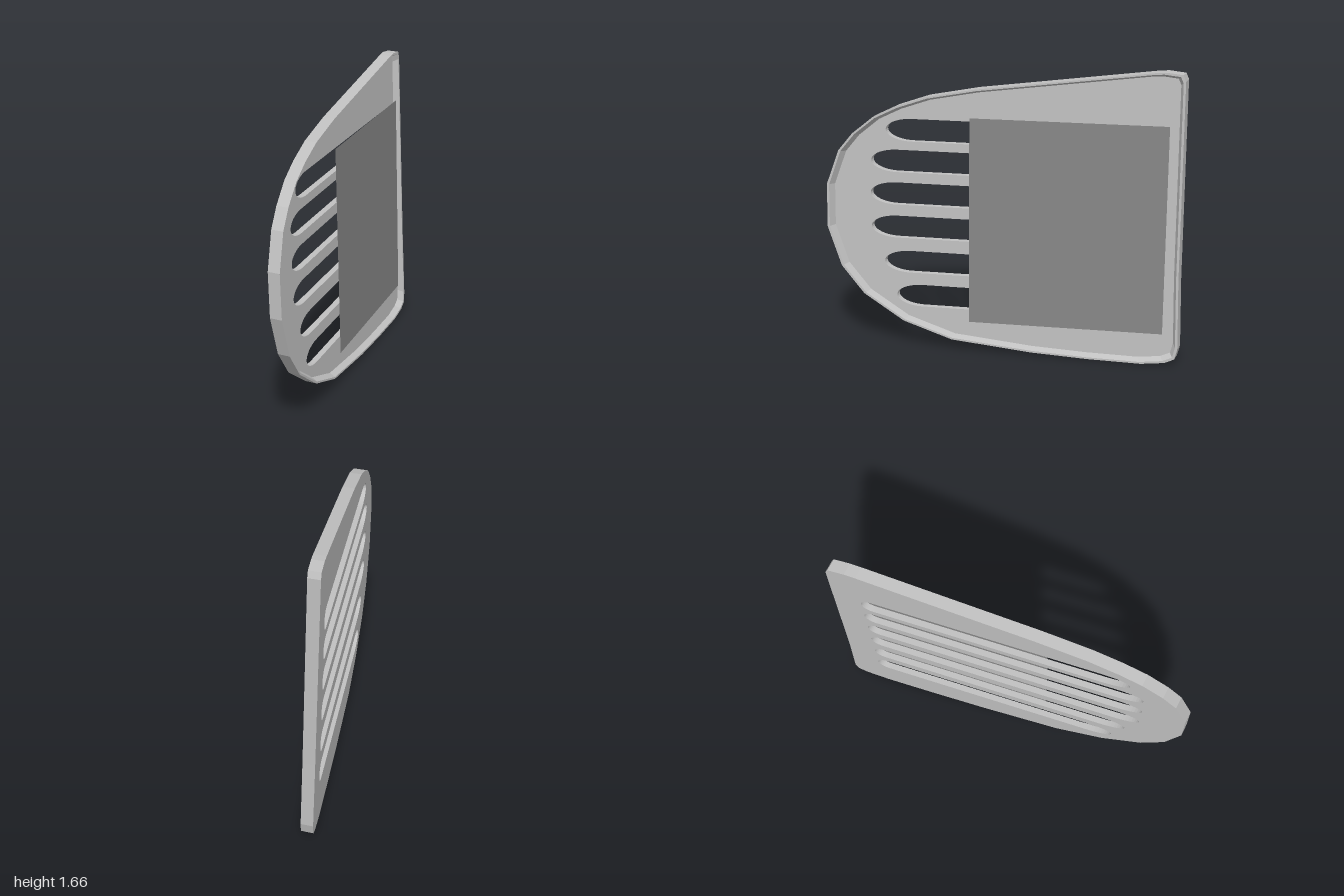
import * as THREE from 'three';

const FLOOR = 0.035, DEPTH = 0.07, MID_Y = 0.83;

// side outline as [z, y], from the front nose along the bottom and back over the top
const OUTLINE = [
  [1, 0.95], [1, 0.7], [0.92, 0.47], [0.79, 0.31], [0.56, 0.16], [0.28, 0.065], [-0.18, 0.02],
  [-0.5, 0.005], [-0.8, 0], [-0.93, 0.015], [-0.985, 0.04], [-1, 0.1], [-0.99, 0.5], [-0.985, 1.62],
  [-0.97, 1.655], [-0.88, 1.665], [-0.82, 1.66], [0.15, 1.53], [0.43, 1.475], [0.6, 1.415],
  [0.73, 1.35], [0.85, 1.25], [0.93, 1.15],
];
// slots as [front tip z, centre y]
const SLOTS = [[0.67, 1.275], [0.755, 1.095], [0.76, 0.905], [0.755, 0.71], [0.68, 0.505], [0.61, 0.305]];
const SLOT_BACK = -0.83, SLOT_HALF = 0.065, TIP = 0.15;

const scaled = (s) => OUTLINE.map(([z, y]) => new THREE.Vector2(-z * s, MID_Y + (y - MID_Y) * s));

function slotPath([tip, y]) {
  const p = new THREE.Path();
  p.absellipse(-tip + TIP, y, TIP, SLOT_HALF, Math.PI / 2, Math.PI * 1.5, false);
  p.absellipse(-SLOT_BACK - SLOT_HALF, y, SLOT_HALF, SLOT_HALF, -Math.PI / 2, Math.PI / 2, false);
  p.closePath();
  return p;
}

// turn depth to x, then lean the panel along z and y
function lean(geo) {
  geo.rotateY(Math.PI / 2);
  const p = geo.attributes.position;
  for (let i = 0; i < p.count; i++) {
    p.setX(i, p.getX(i) - 0.025 + 0.15 * p.getZ(i) - 0.035 * (p.getY(i) - MID_Y));
  }
  geo.computeVertexNormals();
  return geo;
}

export function createModel() {
  const group = new THREE.Group();
  const shellGrey = new THREE.MeshStandardMaterial({ color: 0xc0c0c0 });
  shellGrey.name = 'shell grey';
  const plateGrey = new THREE.MeshStandardMaterial({ color: 0x868686, side: THREE.DoubleSide });
  plateGrey.name = 'plate grey';

  const add = (name, geo, mat) => {
    const mesh = new THREE.Mesh(geo, mat);
    mesh.name = name;
    group.add(mesh);
  };

  // slotted floor of the tray
  const floor = new THREE.Shape(scaled(1));
  floor.holes = SLOTS.map(slotPath);
  add('slottedPanel', lean(new THREE.ExtrudeGeometry(floor, { depth: FLOOR, bevelEnabled: false, curveSegments: 10 })), shellGrey);

  // raised rim whose inner wall slopes down to the floor
  const ring = new THREE.Shape(scaled(1));
  const inner = scaled(0.987);
  ring.holes = [new THREE.Path(inner)];
  const rim = new THREE.ExtrudeGeometry(ring, { depth: DEPTH - FLOOR, bevelEnabled: false });
  const p = rim.attributes.position;
  for (let i = 0; i < p.count; i++) {
    const onInner = inner.some((v) => Math.hypot(v.x - p.getX(i), v.y - p.getY(i)) < 1e-4);
    if (onInner && p.getZ(i) < 1e-4) {
      p.setX(i, p.getX(i) * 0.98);
      p.setY(i, MID_Y + (p.getY(i) - MID_Y) * 0.98);
    }
  }
  rim.translate(0, 0, FLOOR);
  add('rim', lean(rim), shellGrey);

  // flat cover sheet across the rear of the slots
  const sheet = new THREE.PlaneGeometry(1.09, 1.19);
  sheet.rotateY(Math.PI / 2).translate(0, 0.775, -0.365);
  const s = sheet.attributes.position;
  for (let i = 0; i < s.count; i++) {
    s.setX(i, 0.051 + 0.161 * s.getZ(i) - 0.027 * (s.getY(i) - 0.775));
  }
  sheet.computeVertexNormals();
  add('coverPlate', sheet, plateGrey);

  return group;
}
